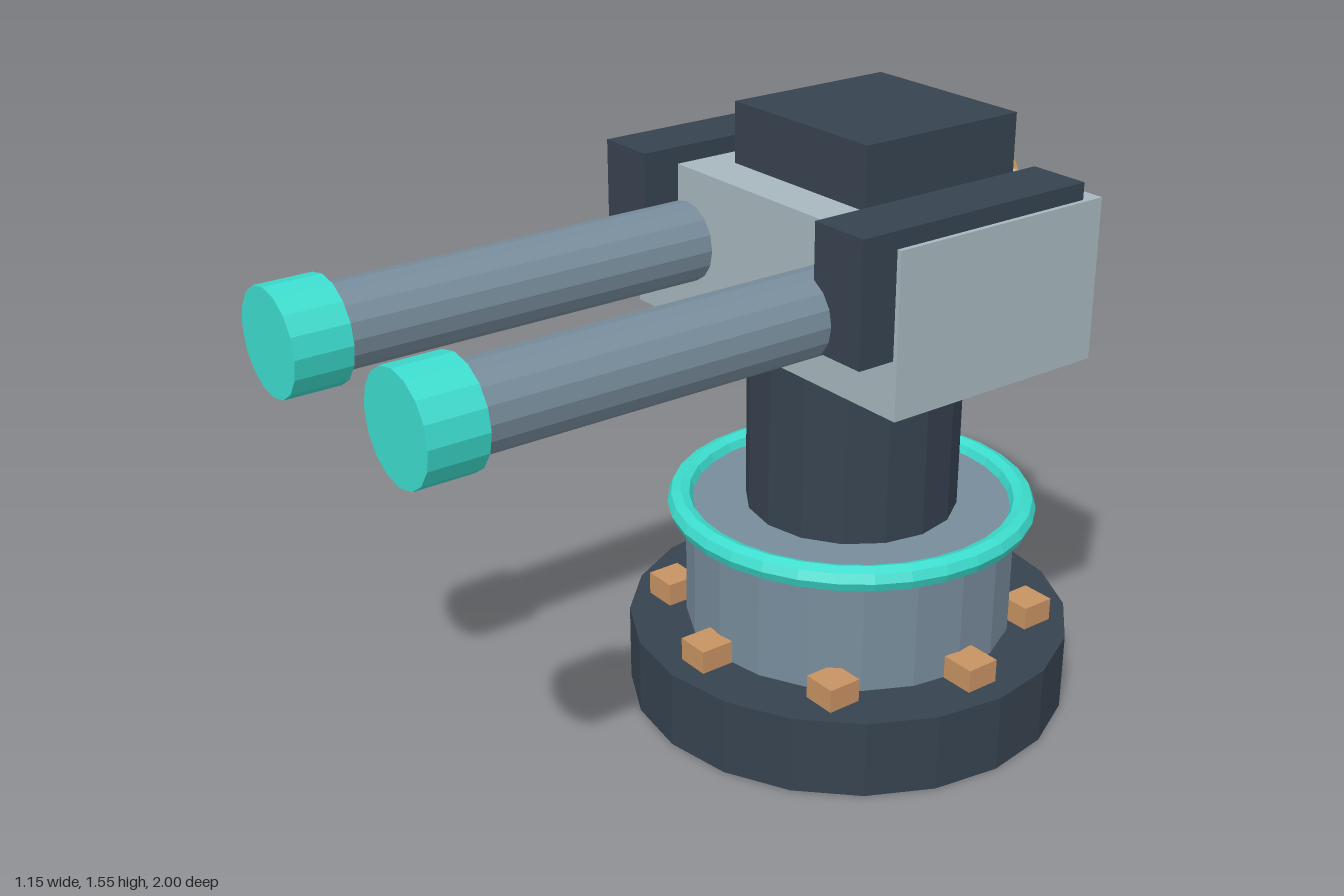
import * as THREE from 'three';

const mat = (color) => new THREE.MeshStandardMaterial({ color, flatShading: true });

export function createModel() {
  const model = new THREE.Group();
  model.name = 'turret';

  const dark = mat(0x36424f), steel = mat(0x778c9b), pale = mat(0xa6b7be);
  const teal = mat(0x3cdccd), bronze = mat(0xc69262), gold = mat(0xd9a34a);
  const axisZ = -0.425; // vertical axis of the pedestal

  const add = (name, geometry, material, x, y, z, parent = model) => {
    const mesh = new THREE.Mesh(geometry, material);
    mesh.name = name;
    mesh.position.set(x, y, z);
    parent.add(mesh);
    return mesh;
  };
  // Upright cylinder between two heights
  const drum = (name, r, y0, y1, sides, material) =>
    add(name, new THREE.CylinderGeometry(r, r, y1 - y0, sides), material, 0, (y0 + y1) / 2, axisZ);
  // Box given by its limits on each axis
  const block = (name, [x0, x1], [y0, y1], [z0, z1], material, parent) =>
    add(name, new THREE.BoxGeometry(x1 - x0, y1 - y0, z1 - z0), material,
      (x0 + x1) / 2, (y0 + y1) / 2, (z0 + z1) / 2, parent);
  // Cylinder lying along z
  const rod = (name, r, x, y, z0, z1, material, parent) =>
    add(name, new THREE.CylinderGeometry(r, r, z1 - z0, 16).rotateX(Math.PI / 2), material,
      x, y, (z0 + z1) / 2, parent);

  // Pedestal
  drum('base', 0.575, 0, 0.205, 20, dark);
  drum('turntable', 0.425, 0.2, 0.53, 20, steel);
  drum('column', 0.272, 0.52, 1.01, 16, dark);
  add('turntableRing', new THREE.TorusGeometry(0.44, 0.033, 8, 32).rotateX(Math.PI / 2),
    teal, 0, 0.528, axisZ);

  // Bolts around the base, all square to the axes
  const bolts = new THREE.Group();
  bolts.name = 'bolts';
  model.add(bolts);
  for (let i = 0; i < 8; i++) {
    const a = (i * Math.PI) / 4;
    add('bolt', new THREE.BoxGeometry(0.09, 0.08, 0.09), bronze,
      0.465 * Math.sin(a), 0.226, axisZ + 0.465 * Math.cos(a), bolts);
  }

  // Head
  block('head', [-0.488, 0.488], [0.995, 1.395], [-0.735, -0.115], pale);
  block('topHousing', [-0.24, 0.24], [1.37, 1.548], [-0.695, -0.23], dark);
  add('rearRing', new THREE.TorusGeometry(0.214, 0.035, 8, 28), gold, 0, 1.26, -0.73);

  // Guns and side plates
  for (const s of [1, -1]) {
    const gun = new THREE.Group();
    gun.name = s > 0 ? 'leftGun' : 'rightGun';
    model.add(gun);
    const limits = s > 0 ? [0.318, 0.476] : [-0.476, -0.318];
    block('sidePlate', limits, [1.137, 1.437], [-0.685, -0.017], dark, gun);
    rod('barrel', 0.1, s * 0.28, 1.21, -0.2, 0.9, steel, gun);
    rod('muzzle', 0.127, s * 0.28, 1.21, 0.86, 1, teal, gun);
  }
  return model;
}
